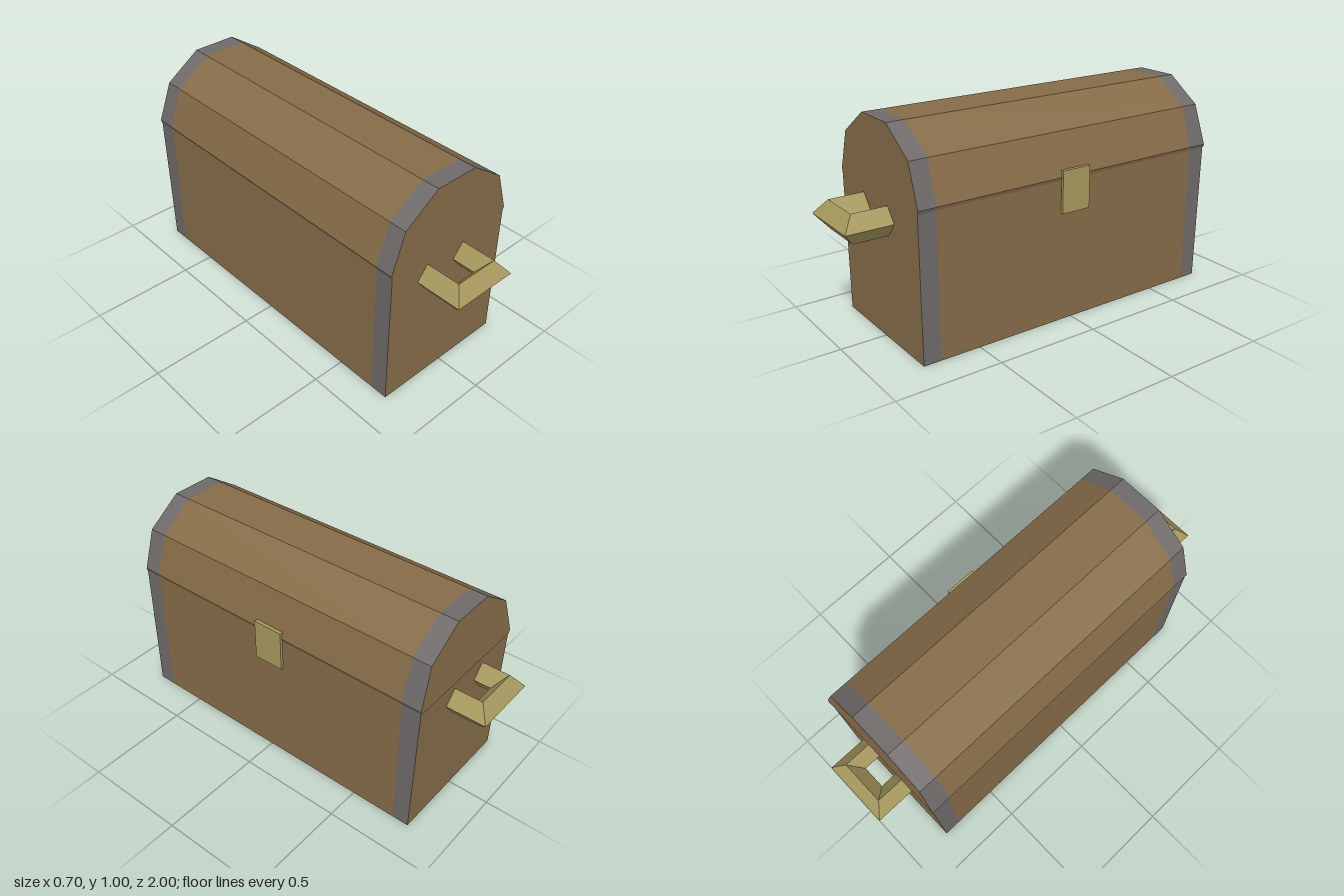
import * as THREE from 'three';

const paint = (color) => new THREE.MeshStandardMaterial({ color, flatShading: true });

// Skins a row of equal cross-sections (counter-clockwise seen from the far end), with optional convex caps
function loft(sections, capStart = false, capEnd = false) {
  const pos = [];
  const tri = (...pts) => pts.forEach((p) => pos.push(...p));
  const n = sections[0].length;
  for (let s = 0; s < sections.length - 1; s++) {
    const A = sections[s], B = sections[s + 1];
    for (let i = 0; i < n; i++) {
      const j = (i + 1) % n;
      tri(A[i], A[j], B[j]);
      tri(A[i], B[j], B[i]);
    }
  }
  const first = sections[0], last = sections[sections.length - 1];
  for (let i = 1; i < n - 1; i++) {
    if (capStart) tri(first[0], first[i + 1], first[i]);
    if (capEnd) tri(last[0], last[i], last[i + 1]);
  }
  const geo = new THREE.BufferGeometry();
  geo.setAttribute('position', new THREE.Float32BufferAttribute(pos, 3));
  geo.computeVertexNormals();
  return geo;
}

export function createModel() {
  const model = new THREE.Group();
  model.name = 'chest';
  const wood = paint(0x866c48), iron = paint(0x6e6a69), brass = paint(0xa6985c);

  const add = (parent, name, geo, mat) => {
    const mesh = new THREE.Mesh(geo, mat);
    mesh.name = name;
    parent.add(mesh);
    return mesh;
  };

  // A long box half: wooden middle, iron bands round both ends, wooden end panels
  function shell(name, profile, backZ) {
    const group = new THREE.Group();
    group.name = name;
    model.add(group);
    const at = (z) => profile.map(([x, y]) => [x, y, typeof z === 'function' ? z(y) : z]);
    const back = at(backZ), backInner = at(-0.72), frontInner = at(0.695), front = at(0.78);
    add(group, name + 'Planks', loft([backInner, frontInner]), wood);
    add(group, name + 'BackBand', loft([back, backInner]), iron);
    add(group, name + 'FrontBand', loft([frontInner, front]), iron);
    add(group, name + 'BackPanel', loft([back, back], true, false), wood);
    add(group, name + 'FrontPanel', loft([front, front], false, true), wood);
  }

  // Base, its back panel leaning out slightly towards the top
  shell('base', [[-0.345, 0], [0.337, 0], [0.337, 0.68], [-0.345, 0.68]],
    (y) => -0.8 - 0.02 * y);

  // Faceted barrel lid with a small lip at the seam
  shell('lid', [
    [-0.344, 0.676], [0.338, 0.676], [0.343, 0.692], [0.28, 0.882],
    [0.107, 1], [-0.11, 1], [-0.284, 0.882], [-0.35, 0.692],
  ], (y) => (y < 0.7 ? -0.817 : -0.807));

  // Latch plate across the seam
  const latch = add(model, 'latch', new THREE.BoxGeometry(0.03, 0.2, 0.15), brass);
  latch.position.set(0.335, 0.623, -0.011);

  // U-shaped end handles with a diamond section, mitred at the corners
  const half = 0.163, rise = 0.067;
  const diamond = [[0, 0], [0.054, -rise], [0.108, 0], [0.054, rise]]; // inset, height
  const path = [[-1, false], [-1, true], [1, true], [1, false]]; // side, at the outer bar
  const handleGeo = loft(path.map(([side, outer]) =>
    diamond.map(([inset, h]) => [side * (half - inset), h, outer ? 1 - inset : 0.76])), true, true);
  for (const [name, turn] of [['frontHandle', 0], ['backHandle', Math.PI]]) {
    const handle = add(model, name, handleGeo, brass);
    handle.position.set(-0.028, 0.572, 0);
    handle.rotation.y = turn;
  }

  return model;
}
